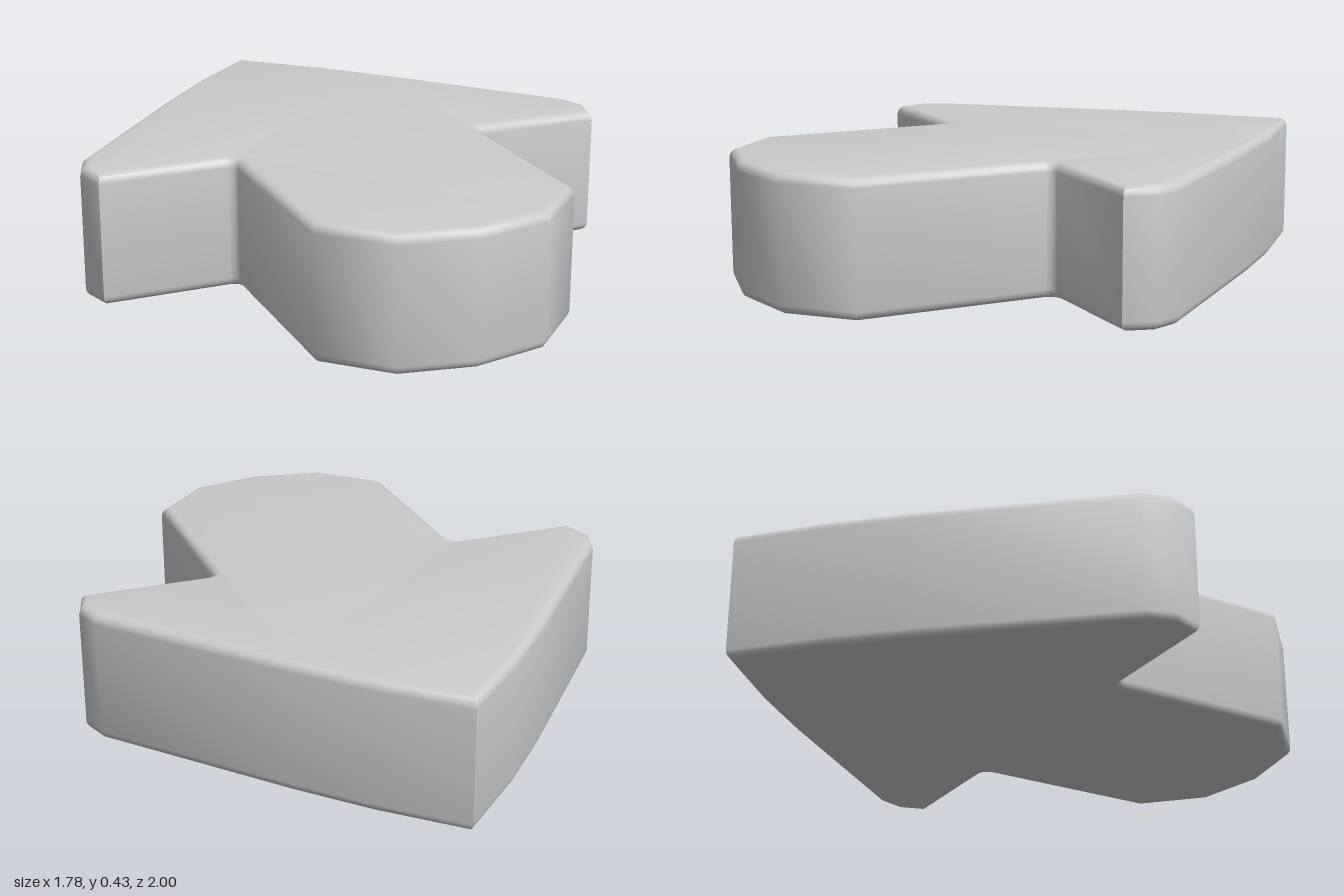
import * as THREE from 'three';
import { toCreasedNormals } from 'three/addons/utils/BufferGeometryUtils.js';

const HEIGHT = 0.43;
const BEVEL = 0.03;

// Right half of the outline as [x, z], from the rear tip to the rounded front end
const HALF = [
  [0, -1], [0.23, -0.785], [0.41, -0.59], [0.86, -0.06], [0.89, 0.03], [0.86, 0.13],
  [0.445, 0.13], [0.427, 0.137], [0.42, 0.155],
  [0.42, 0.775], [0.24, 0.95], [0, 0.995],
];

export function createModel() {
  const group = new THREE.Group();
  group.name = 'arrowBlock';

  // Mirror the half outline; shape y is -z
  const mirrored = HALF.slice(1, -1).reverse().map(([x, z]) => [-x, z]);
  const outline = [...HALF, ...mirrored].map(([x, z]) => new THREE.Vector2(x, -z));

  // Slab with rounded top and bottom edges
  const slab = new THREE.ExtrudeGeometry(new THREE.Shape(outline), {
    depth: HEIGHT - 2 * BEVEL,
    bevelSize: BEVEL,
    bevelOffset: -BEVEL,
    bevelThickness: BEVEL,
    bevelSegments: 4,
  });
  slab.rotateX(-Math.PI / 2);
  slab.translate(0, BEVEL, 0);

  const arrow = new THREE.Mesh(
    toCreasedNormals(slab, THREE.MathUtils.degToRad(50)),
    new THREE.MeshStandardMaterial({ color: 0xcccccc }),
  );
  arrow.name = 'arrow';
  group.add(arrow);
  return group;
}
